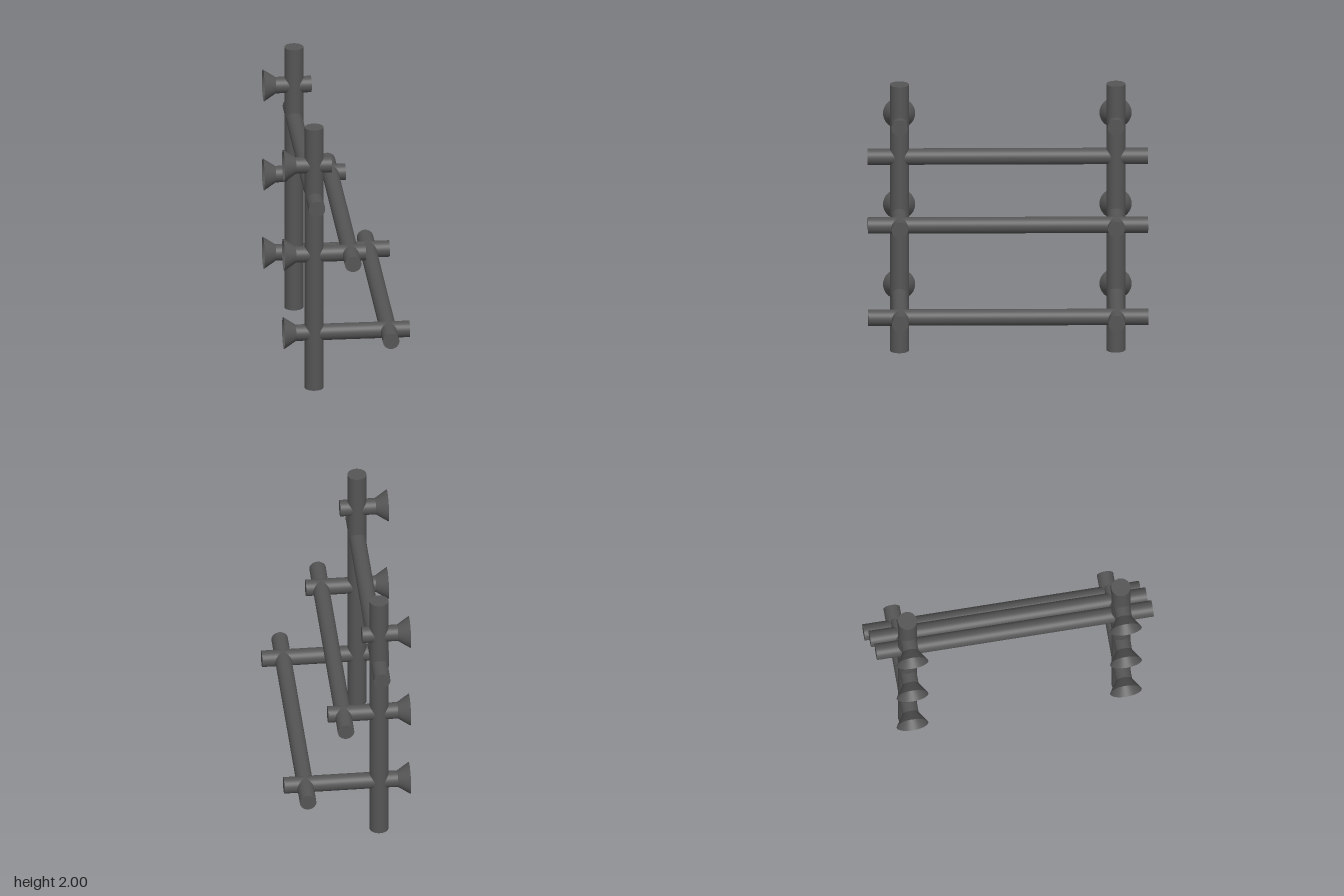
import * as THREE from 'three';

export function createModel() {
  const group = new THREE.Group();
  const metal = new THREE.MeshStandardMaterial({ color: 0x555555 });
  const openMetal = new THREE.MeshStandardMaterial({ color: 0x555555, side: THREE.DoubleSide });

  const postX = -0.233, postZ = 0.772, wallX = -0.452, neckX = -0.365;
  const postR = 0.068, barR = 0.059, flareR = 0.115;

  function add(name, geometry, x, y, z, material = metal) {
    const mesh = new THREE.Mesh(geometry, material);
    mesh.name = name;
    mesh.position.set(x, y, z);
    group.add(mesh);
  }

  // Each tier: bracket arm height and tip, with its rung position
  const tiers = [
    { armY: 1.71, armEnd: -0.11, rungX: -0.233, rungY: 1.457 },
    { armY: 1.026, armEnd: 0.135, rungX: 0.026, rungY: 1.026 },
    { armY: 0.424, armEnd: 0.45, rungX: 0.298, rungY: 0.424 },
  ];

  // Upright posts with bracket arms and hollow flared wall mounts
  for (const z of [postZ, -postZ]) {
    add('post', new THREE.CylinderGeometry(postR, postR, 2, 32), postX, 1, z);
    for (const { armY, armEnd } of tiers) {
      const length = armEnd - neckX;
      const arm = new THREE.CylinderGeometry(barR, barR, length, 32).rotateZ(-Math.PI / 2);
      add('bracketArm', arm, neckX + length / 2, armY, z);
      const depth = neckX - wallX;
      const flare = new THREE.CylinderGeometry(barR, flareR, depth, 32, 1, true).rotateZ(-Math.PI / 2);
      add('wallMount', flare, wallX + depth / 2, armY, z, openMetal);
    }
  }

  // Horizontal rungs running the full width
  for (const { rungX, rungY } of tiers) {
    add('rung', new THREE.CylinderGeometry(barR, barR, 2, 32).rotateX(Math.PI / 2), rungX, rungY, 0);
  }

  return group;
}
